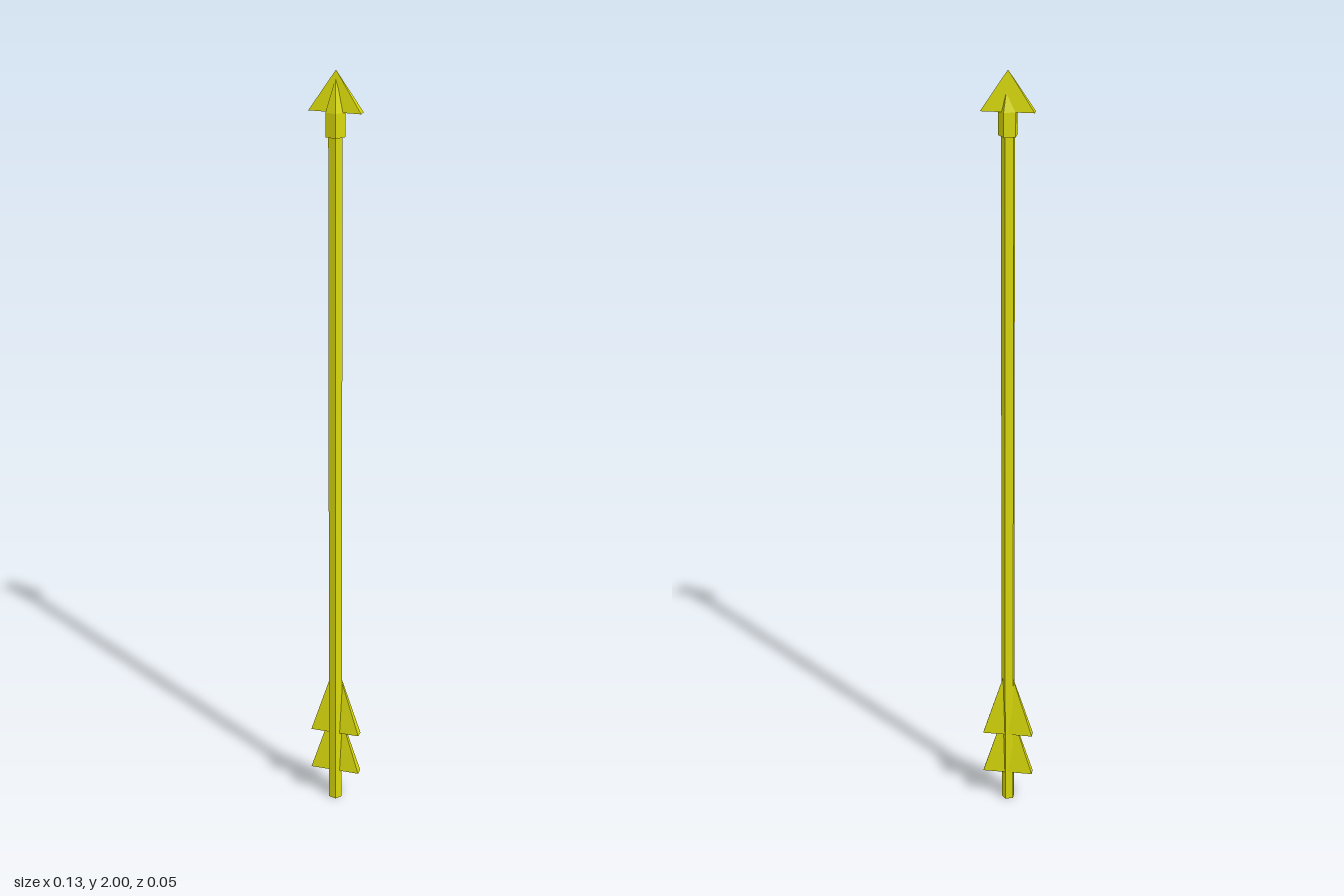
import * as THREE from 'three';

export function createModel() {
  const yellow = new THREE.MeshStandardMaterial({ color: 0xd8d80c });
  yellow.flatShading = true;
  const arrow = new THREE.Group();
  arrow.name = 'arrow';

  const add = (name, geometry, y, z = 0) => {
    const mesh = new THREE.Mesh(geometry, yellow);
    mesh.name = name;
    mesh.position.set(0, y, z);
    arrow.add(mesh);
  };

  // Five-sided column with one corner towards +x, standing on y
  const column = (name, top, bottom, y0, y1) => add(name,
    new THREE.CylinderGeometry(top, bottom, y1 - y0, 5, 1, false, Math.PI / 2), (y0 + y1) / 2);

  // Flat four-sided pyramid used for the blade and the fletching
  const fin = (name, y0, y1) => {
    const g = new THREE.ConeGeometry(Math.SQRT2, y1 - y0, 4, 1, false, Math.PI / 4);
    g.scale(0.066, 1, 0.0105);
    add(name, g, (y0 + y1) / 2, -0.0045);
  };

  column('shaft', 0.018, 0.018, 0, 1.85);
  column('headSocket', 0.025, 0.025, 1.84, 1.9);
  column('headSpike', 0, 0.025, 1.9, 1.98);
  fin('headBlade', 1.9, 2);
  fin('upperFletching', 0.2, 0.41);
  fin('lowerFletching', 0.083, 0.293);
  return arrow;
}
